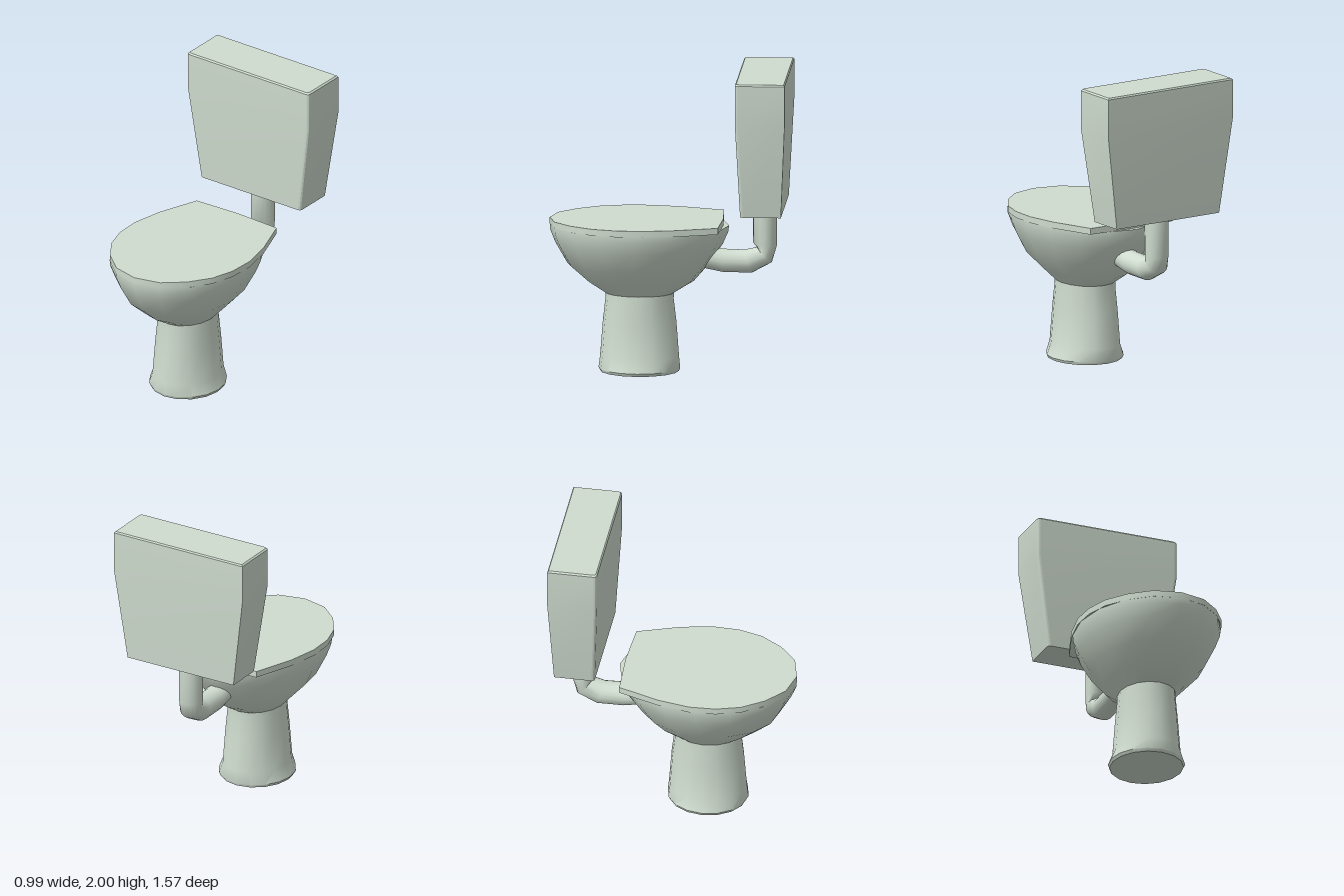
import * as THREE from 'three';
import { toCreasedNormals } from 'three/addons/utils/BufferGeometryUtils.js';

const SIDES = 16;

// Skin a stack of equal-length rings (ordered upward) and close both ends
function loft(rings, crease) {
  const n = rings[0].length;
  const pos = [];
  const index = [];
  rings.forEach((ring) => ring.forEach((p) => pos.push(...p)));
  for (let i = 0; i < rings.length - 1; i++) {
    for (let j = 0; j < n; j++) {
      const k = (j + 1) % n;
      const a = i * n + j, b = i * n + k, c = b + n, d = a + n;
      index.push(a, b, c, a, c, d);
    }
  }
  const cap = (start, up) => {
    const centre = pos.length / 3;
    const sum = [0, 0, 0];
    for (let j = 0; j < n; j++) for (let q = 0; q < 3; q++) sum[q] += pos[(start + j) * 3 + q] / n;
    pos.push(...sum);
    for (let j = 0; j < n; j++) {
      const a = start + j, b = start + (j + 1) % n;
      index.push(centre, up ? a : b, up ? b : a);
    }
  };
  cap(0, false);
  cap((rings.length - 1) * n, true);
  const geo = new THREE.BufferGeometry();
  geo.setAttribute('position', new THREE.Float32BufferAttribute(pos, 3));
  geo.setIndex(index);
  return toCreasedNormals(geo, crease);
}

// Horizontal ellipse reaching from back to front in z
function ellipse([y, halfX, back, front]) {
  return Array.from({ length: SIDES }, (_, j) => {
    const t = (j / SIDES) * Math.PI * 2;
    return [halfX * Math.sin(t), y, (front + back) / 2 + ((front - back) / 2) * Math.cos(t)];
  });
}

// Rectangle with rounded front corners
function tankRing([y, halfX, back, front]) {
  const r = 0.02;
  const right = [];
  for (let s = 0; s <= 3; s++) {
    const t = (s / 3) * Math.PI / 2;
    right.push([halfX - r + r * Math.sin(t), y, front - r + r * Math.cos(t)]);
  }
  right.push([halfX, y, back]);
  return [...right, ...right.map(([x, h, z]) => [-x, h, z]).reverse()];
}

// Pipe section, tilted from level (0) to upright (90 degrees)
function pipeRing([y, z, tilt, r]) {
  const a = THREE.MathUtils.degToRad(tilt);
  return Array.from({ length: SIDES }, (_, j) => {
    const t = (j / SIDES) * Math.PI * 2;
    const u = r * Math.cos(t);
    return [0.08 * Math.sin(t), y + u * Math.sin(a), z + u * Math.cos(a)];
  });
}

export function createModel() {
  const group = new THREE.Group();
  const porcelain = new THREE.MeshStandardMaterial({ color: 0xcfdccf });
  porcelain.name = 'paleGreenPorcelain';

  const add = (name, rings, crease) => {
    const mesh = new THREE.Mesh(loft(rings, crease), porcelain);
    mesh.name = name;
    group.add(mesh);
  };

  // Flared foot: [y, half width, back z, front z]
  add('pedestal', [
    [0, 0.24, -0.062, 0.455],
    [0.02, 0.25, -0.07, 0.465],
    [0.1, 0.217, -0.062, 0.455],
    [0.33, 0.2, -0.045, 0.437],
    [0.48, 0.187, -0.027, 0.42],
    [0.53, 0.185, -0.03, 0.42],
  ].map(ellipse), 0.7);

  add('bowl', [
    [0.52, 0.185, -0.03, 0.42],
    [0.6, 0.26, -0.16, 0.545],
    [0.71, 0.362, -0.255, 0.67],
    [0.85, 0.432, -0.35, 0.75],
    [0.93, 0.462, -0.385, 0.782],
    [0.97, 0.465, -0.39, 0.785],
  ].map(ellipse), 0.7);

  // Lid outline, right half from front to back
  const half = [
    [0.178, 0.742], [0.313, 0.628], [0.412, 0.485], [0.46, 0.325],
    [0.467, 0.15], [0.425, -0.06], [0.325, -0.337],
  ];
  const outline = [
    [0, 0.785], ...half, [0, -0.352],
    ...half.map(([x, z]) => [-x, z]).reverse(),
  ];
  add('seatLid', [0.97, 1.012].map((y) => outline.map(([x, z]) => [x, y, z])), 0.6);

  add('cistern', [
    [1.1, 0.407, -0.755, -0.487],
    [1.73, 0.495, -0.785, -0.458],
    [1.99, 0.495, -0.785, -0.458],
    [2, 0.485, -0.778, -0.466],
  ].map(tankRing), 0.25);

  // Elbow from the back of the bowl up to the cistern: [y, z, tilt, radius]
  add('flushPipe', [
    [0.77, -0.18, 80, 0.078],
    [0.738, -0.35, 87, 0.078],
    [0.735, -0.515, 72, 0.08],
    [0.78, -0.623, 47, 0.069],
    [0.85, -0.625, 8, 0.078],
    [1.11, -0.625, 0, 0.078],
  ].map(pipeRing), 0.9);

  return group;
}
